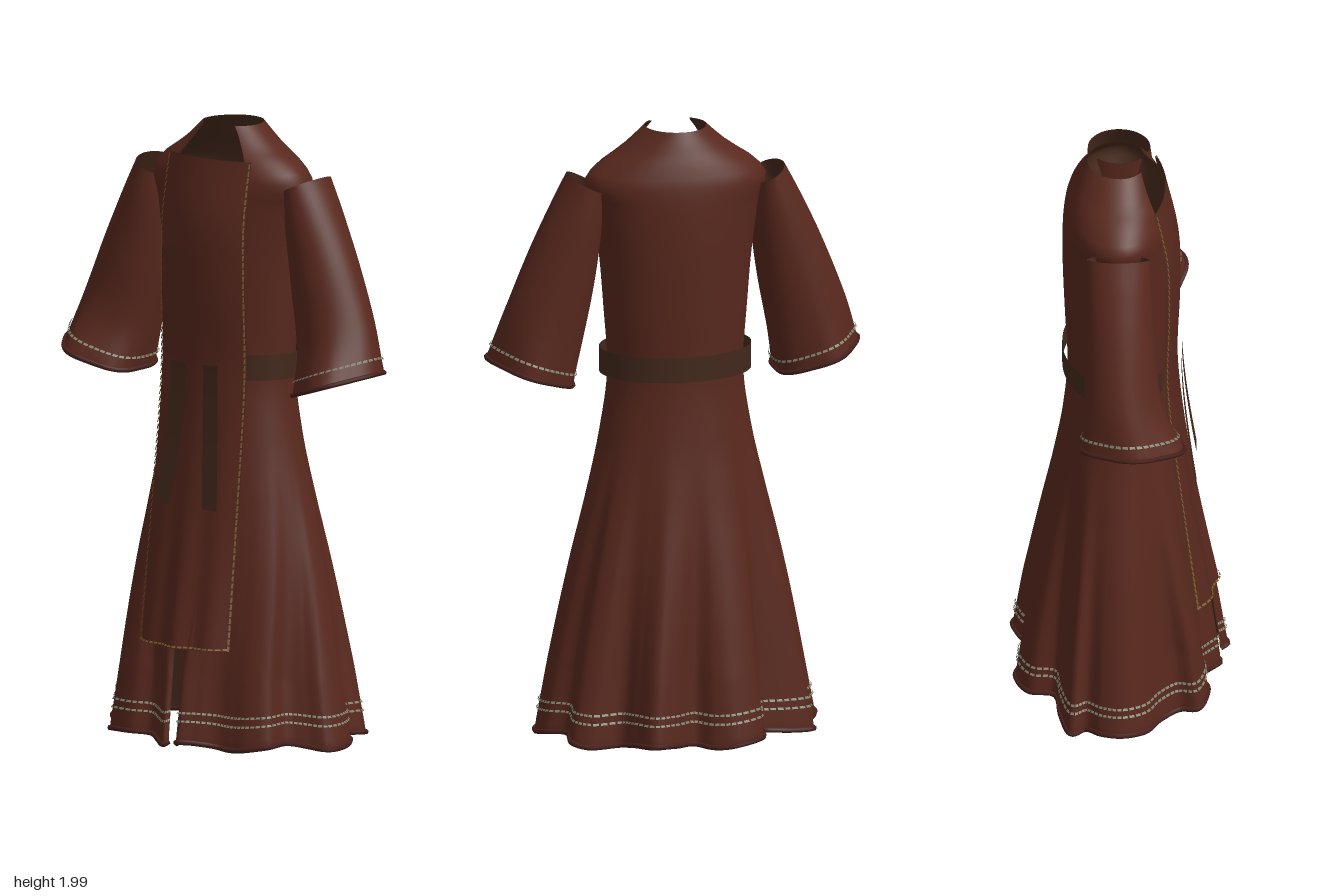
import * as THREE from 'three';
import { ParametricGeometry } from 'three/addons/geometries/ParametricGeometry.js';

const paint = (name, color) => {
  const m = new THREE.MeshStandardMaterial({ color, side: THREE.DoubleSide });
  m.name = name;
  return m;
};

// Smooth lookup in rows of [key, value, value...], keys rising
function track(rows) {
  const slope = (i, k) => {
    const a = rows[Math.max(i - 1, 0)], b = rows[Math.min(i + 1, rows.length - 1)];
    return (b[k] - a[k]) / (b[0] - a[0]);
  };
  return (key, k = 1) => {
    const x = THREE.MathUtils.clamp(key, rows[0][0], rows[rows.length - 1][0]);
    let i = 0;
    while (i < rows.length - 2 && x > rows[i + 1][0]) i++;
    const h = rows[i + 1][0] - rows[i][0], t = (x - rows[i][0]) / h, t2 = t * t, t3 = t2 * t;
    return (2 * t3 - 3 * t2 + 1) * rows[i][k] + (t3 - 2 * t2 + t) * h * slope(i, k)
      + (3 * t2 - 2 * t3) * rows[i + 1][k] + (t3 - t2) * h * slope(i + 1, k);
  };
}

// Robe sections: height, half width, front depth, back depth, half width of the front opening
const section = track([
  [0, 0.22, 0.16, 0.17, 0.025], [1.2, 0.22, 0.16, 0.17, 0.025], [1.4, 0.235, 0.165, 0.18, 0.05],
  [1.6, 0.252, 0.165, 0.187, 0.08], [1.75, 0.275, 0.16, 0.186, 0.11], [1.83, 0.296, 0.15, 0.178, 0.13],
  [1.885, 0.248, 0.135, 0.162, 0.138], [1.93, 0.18, 0.115, 0.144, 0.11], [1.97, 0.132, 0.098, 0.126, 0.085],
  [2, 0.1, 0.085, 0.11, 0.063],
]);
const flare = track([[0.03, 1], [0.4, 0.71], [0.6, 0.53], [0.8, 0.32], [1, 0.12], [1.2, 0], [2, 0]]);

// Folded hem outline, x and z, from the front slit round by the left side
const hem = new THREE.CatmullRomCurve3([
  [0.025, 0.32], [0.04, 0.342], [0.09, 0.31], [0.15, 0.27], [0.2, 0.265], [0.26, 0.26], [0.32, 0.225],
  [0.33, 0.14], [0.38, 0.1], [0.44, 0.07], [0.455, 0], [0.44, -0.05], [0.38, -0.1], [0.385, -0.2],
  [0.34, -0.23], [0.23, -0.22], [0.2, -0.27], [0.15, -0.345], [0.08, -0.325], [0, -0.27], [-0.06, -0.32],
  [-0.13, -0.335], [-0.22, -0.29], [-0.235, -0.21], [-0.33, -0.19], [-0.42, -0.155], [-0.4, -0.11],
  [-0.44, -0.06], [-0.455, 0], [-0.42, 0.08], [-0.34, 0.13], [-0.29, 0.19], [-0.3, 0.25], [-0.2, 0.28],
  [-0.13, 0.25], [-0.08, 0.28], [-0.03, 0.32], [-0.02, 0.305],
].map(([x, z]) => new THREE.Vector3(x, 0, z)));

// The skirt flares to a plain oval whose folds deepen towards the hem
function robe(u, v, out) {
  const y = 0.025 + 1.975 * v, rx = section(y, 1), t = flare(y);
  const gap = Math.asin(Math.min(section(y, 4) / rx, 0.9));
  const a = gap + (2 * Math.PI - 2 * gap) * u, c = Math.cos(a), s = Math.sin(a);
  const h = hem.getPoint(u), fold = Math.min(1, t * 1.2);
  const x = rx * s, z = c * (c > 0 ? section(y, 2) : section(y, 3));
  const hx = THREE.MathUtils.lerp(0.45 * s, h.x, fold), hz = THREE.MathUtils.lerp(0.305 * c, h.z, fold);
  const dip = 0.01 * Math.sin(u * 44) * Math.pow(1 - v, 14);
  return out.set(x + (hx - x) * t, y + dip, z + (hz - z) * t);
}

// Sleeve sections from cuff to shoulder: v, outer x y, inner x y, mid z, half depth
const arm = track([
  [0, 0.602, 1.25, 0.332, 1.162, 0.042, 0.162], [0.2, 0.558, 1.4, 0.308, 1.29, 0.012, 0.126],
  [0.5, 0.48, 1.6, 0.27, 1.49, 0, 0.113], [0.8, 0.405, 1.76, 0.246, 1.68, -0.005, 0.107],
  [1, 0.355, 1.855, 0.242, 1.8, -0.007, 0.1],
]);
const sleeve = s => (u, v, out) => {
  const a = 2 * Math.PI * u * s, wave = 1 + 0.04 * Math.sin(5 * a) * Math.pow(1 - v, 4);
  const k = Math.sin(a) * wave, mix = (o, i) => (arm(v, o) + arm(v, i)) / 2 + k * (arm(v, o) - arm(v, i)) / 2;
  return out.set(s * mix(1, 3), mix(2, 4), arm(v, 5) + Math.cos(a) * wave * arm(v, 6));
};

// Front panel: height, centre depth, fall-back at the edges
const drape = track([[0.33, 0.305, 0.055], [0.8, 0.225, 0.035], [1.2, 0.182, 0.035],
  [1.5, 0.19, 0.04], [1.7, 0.186, 0.04], [1.9, 0.146, 0.035]]);
const panel = (u, v, out) => {
  const y = 0.33 + 1.57 * v, k = 2 * u - 1, w = 0.177 - 0.014 * v;
  return out.set(k * w, y, drape(y, 1) - drape(y, 2) * k * k + 0.008 * Math.cos(k * 9) * (1 - v) ** 3);
};

// Point on a surface pushed outward along its normal
function lifted(surface, u, v, d) {
  const at = (a, b) => surface(a, b, new THREE.Vector3());
  const e = 0.002, u0 = Math.min(u, 1 - e), v0 = Math.min(v, 1 - e), p = at(u0, v0);
  const n = at(u0 + e, v0).sub(p).cross(at(u0, v0 + e).sub(p)).normalize();
  return at(u, v).addScaledVector(n, d);
}

// Row of flat dashes on a surface, each given as [u0, u1, v0, v1], lower edge standing out a little
function dashes(surface, list) {
  const pos = [], idx = [];
  list.forEach(([u0, u1, v0, v1], i) => {
    [[u0, v0, 0.007], [u1, v0, 0.007], [u1, v1, 0.003], [u0, v1, 0.003]]
      .forEach(([u, v, d]) => pos.push(...lifted(surface, u, v, d).toArray()));
    idx.push(...[0, 1, 2, 0, 2, 3].map(k => k + 4 * i));
  });
  const g = new THREE.BufferGeometry();
  g.setAttribute('position', new THREE.Float32BufferAttribute(pos, 3));
  g.setIndex(idx);
  g.computeVertexNormals();
  return g;
}
const across = (n, v, w) => Array.from({ length: n }, (_, i) => [i / n, (i + 0.75) / n, v, v + w]);
const along = (n, u, w) => Array.from({ length: n }, (_, i) => [u, u + w, i / n, (i + 0.75) / n]);

// Rolled edge following the lower rim of a surface
function rim(surface, n, r, closed) {
  const pts = Array.from({ length: closed ? n : n + 1 }, (_, i) => surface(i / n, 0, new THREE.Vector3()));
  return new THREE.TubeGeometry(new THREE.CatmullRomCurve3(pts, closed), n * 2, r, 6, closed);
}

export function createModel() {
  const model = new THREE.Group();
  model.name = 'robe';
  const cloth = paint('red brown cloth', 0x58281d);
  const lining = paint('brown lining', 0x472a1d);
  const edging = paint('dark edging', 0x46201a);
  const sash = paint('dark brown sash', 0x42281b);
  const thread = paint('grey green thread', 0x7a7c68);
  const gold = paint('dull gold thread', 0x705628);
  const add = (name, geometry, material) => {
    const m = new THREE.Mesh(geometry, material);
    m.name = name;
    model.add(m);
  };
  // Cloth outside, with a lining just inside it that faces inward
  const clothPart = (name, surface, nu, nv) => {
    add(name, new ParametricGeometry(surface, nu, nv), cloth);
    const inside = (u, v, out) => out.copy(lifted(surface, 1 - u, v, -0.004));
    add(name + 'Lining', new ParametricGeometry(inside, nu, nv), lining);
  };

  // Robe body with hem
  clothPart('robeBody', robe, 148, 70);
  add('hemEdge', rim(robe, 148, 0.009, false), edging);
  add('hemStitchLower', dashes(robe, across(150, 0.034, 0.0035)), thread);
  add('hemStitchUpper', dashes(robe, across(150, 0.048, 0.0035)), thread);

  // Sleeves
  for (const [side, s] of [['left', 1], ['right', -1]]) {
    const surface = sleeve(s);
    clothPart(side + 'Sleeve', surface, 40, 24);
    add(side + 'CuffEdge', rim(surface, 40, 0.008, true), edging);
    add(side + 'CuffStitch', dashes(surface, across(44, 0.055, 0.01)), thread);
  }

  // Front panel with stitched borders
  clothPart('frontPanel', panel, 20, 40);
  add('panelStitchSides', dashes(panel, [...along(70, 0.002, 0.016), ...along(70, 0.982, 0.016)]), gold);
  add('panelStitchBottom', dashes(panel, across(20, 0.002, 0.0035)), gold);

  // Belt, its ends tucked under the panel
  add('belt', new ParametricGeometry((u, v, out) => {
    const a = 0.7 + (2 * Math.PI - 1.4) * u, c = Math.cos(a);
    out.set(0.246 * Math.sin(a), 1.193 + 0.083 * v, c * (c > 0 ? 0.175 : 0.187));
  }, 64, 2), sash);

  // Hanging sash tails
  for (const [side, s] of [['left', 1], ['right', -1]]) {
    add(side + 'SashTail', new ParametricGeometry((u, v, out) => {
      const y = 0.78 + 0.46 * v;
      out.set(s * (0.063 + 0.032 * (1 - v) ** 1.5) + (u - 0.5) * 0.06, y, drape(y, 1) + 0.014);
    }, 2, 12), sash);
  }
  return model;
}
